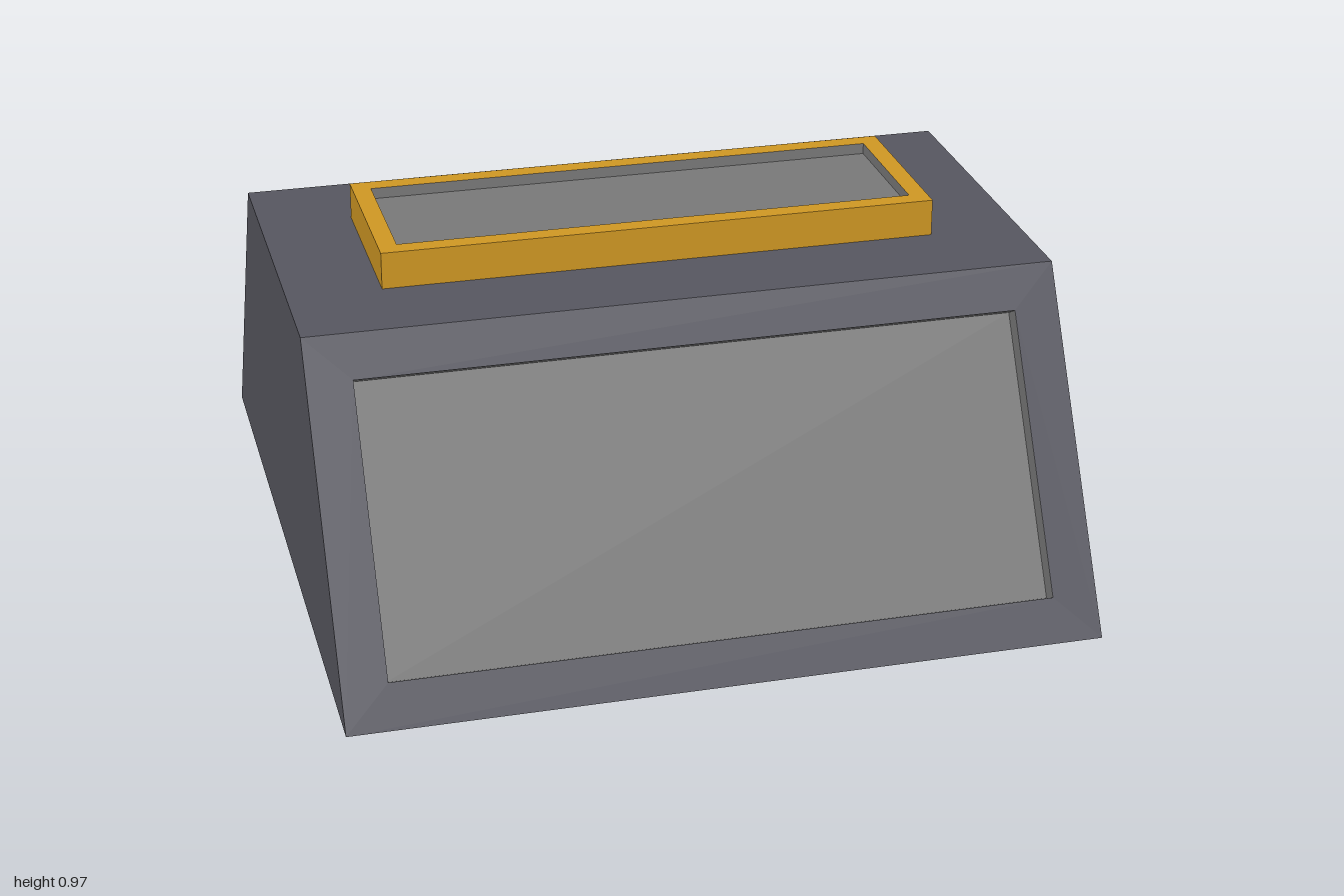
import * as THREE from 'three';
import { mergeGeometries } from 'three/addons/utils/BufferGeometryUtils.js';

const H = Math.sqrt(3) / 2; // body height: sloped panels are 1 long, leaning 30 degrees

const material = (name, color) => {
  const m = new THREE.MeshStandardMaterial({ color, side: THREE.DoubleSide });
  m.name = name;
  return m;
};

const rectPoints = (w, h) => [[-w, -h], [w, -h], [w, h], [-w, h]]
  .map(([x, y]) => new THREE.Vector2(x / 2, y / 2));

// Flat rectangular frame facing +z
function frame(w, h, holeW, holeH) {
  const shape = new THREE.Shape(rectPoints(w, h));
  shape.holes.push(new THREE.Path(rectPoints(holeW, holeH).reverse()));
  return new THREE.ShapeGeometry(shape);
}

// Four thin walls around a w x h rectangle, between two depths on z
function walls(w, h, z0, z1, outward) {
  return mergeGeometries([0, 1, 2, 3].map((k) => {
    const [len, dist] = k % 2 ? [h, w] : [w, h];
    return new THREE.PlaneGeometry(len, z1 - z0)
      .rotateX(outward ? -Math.PI / 2 : Math.PI / 2)
      .translate(0, dist / 2, (z0 + z1) / 2)
      .rotateZ(k * Math.PI / 2);
  }));
}

// Shallow recess: inward walls and a floor
function tray(w, h, top, depth) {
  return mergeGeometries([
    walls(w, h, top - depth, top, false),
    new THREE.PlaneGeometry(w, h).translate(0, 0, top - depth),
  ]);
}

export function createModel() {
  const model = new THREE.Group();
  const bodyMat = material('slateBody', 0x56565f);
  const paneMat = material('greyPane', 0x787878);
  const collarMat = material('amberCollar', 0xce9623);

  const add = (parent, name, geometry, mat) => {
    const mesh = new THREE.Mesh(geometry, mat);
    mesh.name = name;
    parent.add(mesh);
    return mesh;
  };

  // Sloped front and back panels with recessed panes
  for (const [name, turn] of [['front', 0], ['back', Math.PI]]) {
    const side = new THREE.Group();
    side.name = name + 'Side';
    side.rotation.y = turn;
    const slope = new THREE.Group();
    slope.name = name + 'Slope';
    slope.position.set(0, H / 2, 0.75);
    slope.rotation.x = -Math.PI / 6;
    add(slope, name + 'Panel', frame(2, 1, 1.76, 0.76), bodyMat);
    add(slope, name + 'Pane', tray(1.76, 0.76, 0, 0.05), paneMat);
    side.add(slope);
    model.add(side);
  }

  // Trapezoid end walls; the underside stays open
  const end = new THREE.Shape([[-1, 0], [1, 0], [0.5, H], [-0.5, H]]
    .map(([x, y]) => new THREE.Vector2(x, y)));
  for (const [name, s] of [['leftWall', 1], ['rightWall', -1]]) {
    const wall = add(model, name, new THREE.ShapeGeometry(end), bodyMat);
    wall.position.x = s;
    wall.rotation.y = s * Math.PI / 2;
  }

  // Roof with a raised collar around a recessed pane
  const roof = new THREE.Group();
  roof.name = 'roof';
  roof.position.y = H;
  roof.rotation.x = -Math.PI / 2;
  add(roof, 'roofPanel', frame(2, 1, 1.5, 0.5), bodyMat);
  add(roof, 'collar', mergeGeometries([
    walls(1.5, 0.5, 0, 0.1, true),
    frame(1.5, 0.5, 1.4, 0.4).translate(0, 0, 0.1),
  ]), collarMat);
  add(roof, 'roofPane', tray(1.4, 0.4, 0.1, 0.03), paneMat);
  model.add(roof);

  return model;
}
